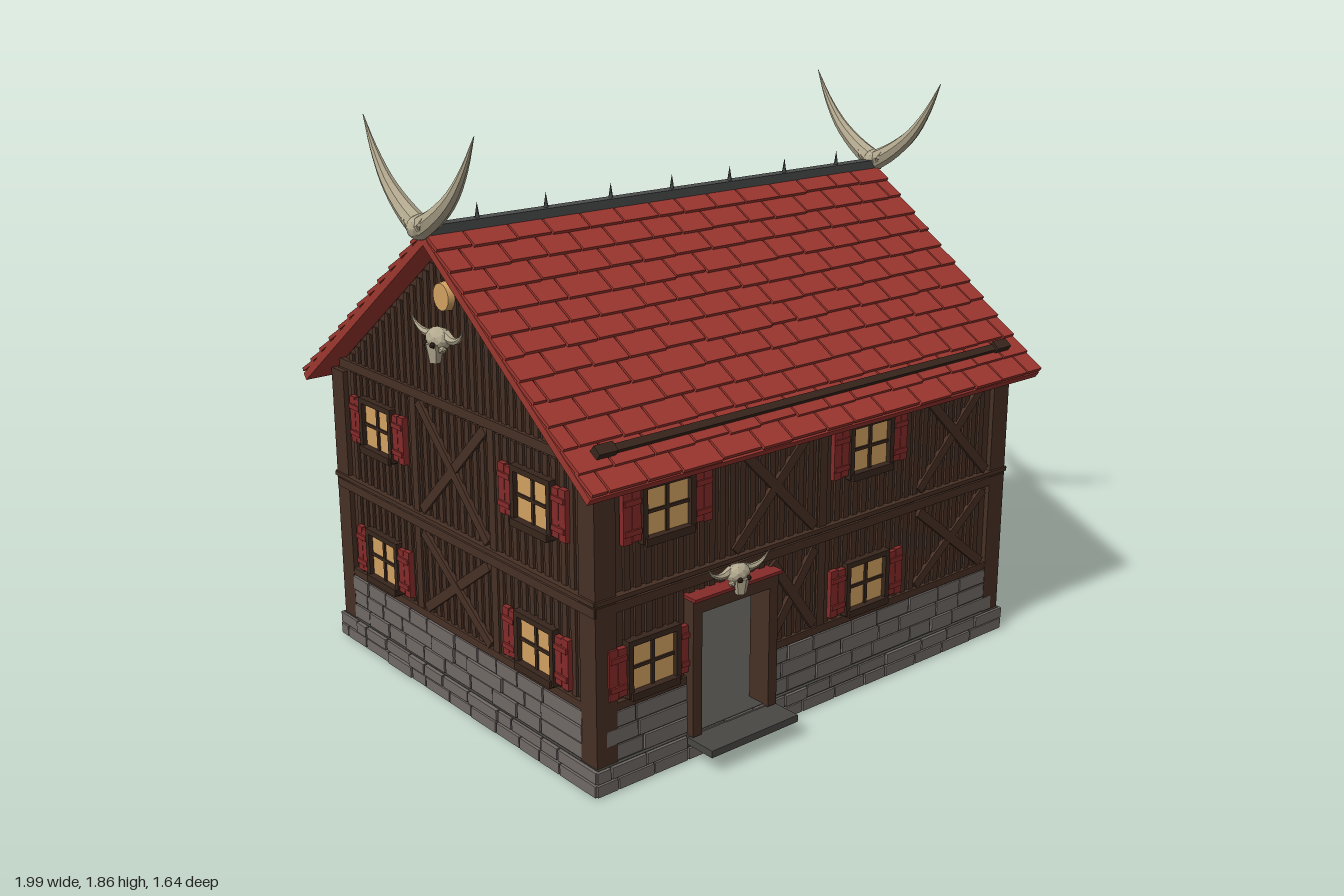
import * as THREE from 'three';
import { mergeGeometries } from 'three/addons/utils/BufferGeometryUtils.js';

const mat = (name, color) => {
  const m = new THREE.MeshStandardMaterial({ color });
  m.name = name;
  return m;
};
const M = {
  roof: mat('roof red', 0x9c362f), shutter: mat('shutter red', 0x842b29),
  timber: mat('timber brown', 0x462f24), dark: mat('dark timber', 0x38261d),
  stone: mat('stone grey', 0x706966), mortar: mat('mortar grey', 0x484743),
  amber: mat('amber glass', 0xd2a161), bone: mat('bone', 0xb3a98f), iron: mat('iron', 0x4a4c4b),
};

let seed = 7;
const rnd = () => (seed = (seed * 16807) % 2147483647) / 2147483647;

const HX = 0.865, HZ = 0.70;            // wall planes
const APEX = 1.555, SLOPE = 0.755, PITCH = Math.atan(SLOPE), LEN = 0.797 / Math.cos(PITCH);
const underRoof = (u) => 1.507 - SLOPE * Math.abs(u);

// box from min to max corners
const boxGeo = (x0, x1, y0, y1, z0, z1) =>
  new THREE.BoxGeometry(x1 - x0, y1 - y0, z1 - z0).translate((x0 + x1) / 2, (y0 + y1) / 2, (z0 + z1) / 2);
const add = (parent, name, geo, material) => {
  const m = new THREE.Mesh(Array.isArray(geo) ? mergeGeometries(geo) : geo, material);
  m.name = name;
  parent.add(m);
  return m;
};
const group = (parent, name, x = 0, y = 0, z = 0) => {
  const g = new THREE.Group();
  g.name = name;
  g.position.set(x, y, z);
  parent.add(g);
  return g;
};
const facet = (geo) => {
  const g = geo.index ? geo.toNonIndexed() : geo;
  g.computeVertexNormals();
  return g;
};

// tube that tapers to a point along a curve
function hornGeo(pts, r, seg = 8, sides = 7) {
  const curve = new THREE.CatmullRomCurve3(pts.map((p) => new THREE.Vector3(...p)));
  const geo = new THREE.TubeGeometry(curve, seg, r, sides);
  const p = geo.attributes.position, v = new THREE.Vector3();
  for (let i = 0; i < p.count; i++) {
    const t = Math.floor(i / (sides + 1)) / seg;
    v.fromBufferAttribute(p, i).lerp(curve.getPointAt(t), 0.97 * Math.pow(t, 1.2));
    p.setXYZ(i, v.x, v.y, v.z);
  }
  return facet(geo);
}

// horned skull facing +z
function skull(parent, x, y, z, s) {
  const g = group(parent, 'hornedSkull', x, y, z);
  g.scale.setScalar(s);
  add(g, 'cranium', facet(new THREE.IcosahedronGeometry(0.045, 1).scale(1.1, 0.85, 0.8)).translate(0, 0.005, 0.035), M.bone);
  add(g, 'snout', facet(new THREE.CylinderGeometry(0.036, 0.022, 0.06, 6).scale(1, 1, 0.8)).translate(0, -0.035, 0.05), M.bone);
  for (const s2 of [-1, 1]) {
    add(g, 'skullHorn', hornGeo([[s2 * 0.025, 0.02, 0.025], [s2 * 0.07, 0.01, 0.03], [s2 * 0.115, 0.025, 0.035], [s2 * 0.145, 0.06, 0.04]], 0.017, 7, 6), M.bone);
    add(g, 'eyeSocket', facet(new THREE.IcosahedronGeometry(0.011, 0)).translate(s2 * 0.02, -0.006, 0.068), M.dark);
    add(g, 'cheek', facet(new THREE.IcosahedronGeometry(0.014, 0)).translate(s2 * 0.036, -0.02, 0.045), M.bone);
  }
}

function windowUnit(parent, u, y) {
  const g = group(parent, 'window', u, y, 0);
  const W = 0.08, H = 0.072, T = 0.018;
  add(g, 'glass', boxGeo(-W, W, -H, H, -0.034, 0.014), M.amber);
  add(g, 'windowFrame', [
    boxGeo(-W - T, -W, -H - T, H + T, 0, 0.03), boxGeo(W, W + T, -H - T, H + T, 0, 0.03),
    boxGeo(-W, W, H, H + T, 0, 0.03), boxGeo(-W - 0.01, W + 0.01, -H - 0.024, -H, 0, 0.038),
    boxGeo(-0.006, 0.006, -H, H, 0, 0.02), boxGeo(-W, W, -0.005, 0.005, 0, 0.02),
  ], M.dark);
  for (const s of [-1, 1]) {
    const planks = [0, 1].map((i) => {
      const c = s * (W + T + 0.018 + i * 0.033);
      return boxGeo(c - 0.0155, c + 0.0155, -0.075 - 0.004 * i, 0.075 + 0.004 * i, 0.006, 0.024);
    });
    const c = s * (W + T + 0.034);
    for (const v of [-0.045, 0.045]) planks.push(boxGeo(c - 0.03, c + 0.03, v - 0.008, v + 0.008, 0.02, 0.03));
    add(g, 'shutter', planks, M.shutter);
  }
}

// diagonal cross brace in a rectangle
function crossBrace(parent, u, hw, y0, y1) {
  const h = y1 - y0, l = Math.hypot(2 * hw, h) - 0.03, a = Math.atan2(h, 2 * hw);
  add(parent, 'crossBrace', [a, -a].map((r, i) =>
    new THREE.BoxGeometry(l, 0.032, 0.014).rotateZ(r).translate(u, (y0 + y1) / 2, 0.009 + i * 0.002)), M.timber);
}

// one course of stones
function course(u0, u1, y0, y1, w) {
  const out = [], n = Math.max(1, Math.round((u1 - u0) / 0.125)), step = (u1 - u0) / n;
  let a = u0;
  for (let i = 1; i <= n; i++) {
    const b = i === n ? u1 : u0 + (i - 0.1 - rnd() * 0.55) * step;
    out.push(boxGeo(a + 0.003, b - 0.003, y0 + 0.003, y1 - 0.003, w - 0.02, w - rnd() * 0.006));
    a = b;
  }
  return out;
}

function buildWall(house, name, half, dist, angle, gable, door) {
  const pivot = group(house, name);
  pivot.rotation.y = angle;
  const g = group(pivot, name + 'Face', 0, 0, dist);
  const D0 = -0.51, D1 = -0.24, DT = 0.5;

  // wall panel
  const pts = [[-half, 0.24]];
  if (door) pts.push([D0, 0.24], [D0, DT], [D1, DT], [D1, 0.24]);
  pts.push([half, 0.24], [half, 0.975]);
  if (gable) pts.push([0, 1.507]);
  pts.push([-half, 0.975]);
  const shape = new THREE.Shape(pts.map((p) => new THREE.Vector2(...p)));
  add(g, 'wallPanel', new THREE.ExtrudeGeometry(shape, { depth: 0.03, bevelEnabled: false }).translate(0, 0, -0.03), M.timber);

  // vertical battens
  const bat = [];
  const n = Math.floor((half - 0.07) / 0.04);
  for (let i = -n; i <= n; i++) {
    const u = i * 0.04, strip = (a, b) => b - a > 0.02 && bat.push(boxGeo(u - 0.011, u + 0.011, a, b, -0.002, 0.008));
    strip(door && u > D0 - 0.02 && u < D1 + 0.02 ? DT : 0.25, 0.56);
    strip(0.6, 0.975);
    if (gable) strip(1.0, underRoof(u) - 0.015);
  }
  add(g, 'battens', bat, M.timber);

  // horizontal beams
  const sill = door ? [[-half, D0], [D1, half]] : [[-half, half]];
  const beams = sill.map(([a, b]) => boxGeo(a, b, 0.245, 0.27, 0, 0.016));
  beams.push(boxGeo(-half - 0.015, half + 0.015, 0.553, 0.582, 0, 0.02), boxGeo(-half - 0.02, half + 0.02, 0.59, 0.604, 0, 0.025));
  if (gable) beams.push(boxGeo(-0.66, 0.66, 0.985, 1.015, 0, 0.018));
  add(g, 'beams', beams, M.timber);
  add(g, 'beamGap', boxGeo(-half, half, 0.58, 0.592, 0, 0.012), M.dark);

  // posts, braces and windows
  const posts = gable ? [-0.215, 0.215] : [0.01];
  add(g, 'posts', posts.flatMap((u) => [boxGeo(u - 0.016, u + 0.016, 0.25, 0.56, 0, 0.015), boxGeo(u - 0.016, u + 0.016, 0.6, 0.985, 0, 0.015)]), M.timber);
  if (gable) {
    crossBrace(g, 0, 0.195, 0.27, 0.55);
    crossBrace(g, 0, 0.195, 0.605, 0.985);
    for (const u of [-0.43, 0.43]) for (const y of [0.365, 0.822]) windowUnit(g, u, y);
    add(g, 'roundWindow', new THREE.CylinderGeometry(0.042, 0.047, 0.035, 16).rotateX(Math.PI / 2).translate(0, 1.345, 0.012), M.amber);
    skull(g, 0, 1.215, 0.008, 1);
  } else {
    for (const [u, y] of [[-0.62, 0.826], [0.21, 0.826], [-0.675, 0.364], [0.21, 0.364]]) windowUnit(g, u, y);
    for (const u of [-0.19, 0.62]) {
      crossBrace(g, u, 0.175, 0.605, 0.96);
      if (door && u < 0) crossBrace(g, -0.11, 0.1, 0.27, 0.55);
      else crossBrace(g, u, 0.175, 0.27, 0.55);
    }
  }

  // foundation stones over a mortar core
  const end = gable ? 0.65 : 0.85, core = [], stones = [];
  for (const [a, b] of door ? [[-end, D0 - 0.03], [D1 + 0.03, end]] : [[-end, end]]) {
    core.push(boxGeo(a, b, 0.08, 0.245, -0.04, 0.012));
    for (let r = 0; r < 3; r++) stones.push(...course(a, b, 0.086 + r * 0.053, 0.139 + r * 0.053, 0.022));
  }
  for (let r = 0; r < 2; r++) stones.push(...course(-half - 0.03, half + 0.03, r * 0.042, 0.042 + r * 0.042, 0.034));
  add(g, 'foundationCore', core, M.mortar);
  add(g, 'foundationStones', stones, M.stone);

  // doorway
  if (door) {
    add(g, 'doorFrame', [boxGeo(D0 - 0.035, D0, 0.08, DT + 0.02, -0.04, 0.045), boxGeo(D1, D1 + 0.035, 0.08, DT + 0.02, -0.04, 0.045),
      boxGeo(D0 - 0.035, D1 + 0.035, DT - 0.025, DT + 0.02, -0.04, 0.045)], M.timber);
    add(g, 'doorCanopy', boxGeo(-0.55, -0.2, 0.52, 0.53, 0, 0.06), M.shutter);
    add(g, 'doorstep', boxGeo(-0.55, -0.2, 0.053, 0.076, 0, 0.137), M.mortar);
    skull(g, -0.375, 0.56, 0.02, 0.85);
  }
}

function buildRoofSide(house, name, angle) {
  const side = group(house, name);
  side.rotation.y = angle;
  const g = group(side, name + 'Slope', 0, APEX, 0);
  g.rotation.x = PITCH;
  add(g, 'roofDeck', boxGeo(-0.948, 0.948, -0.037, -0.012, 0, LEN), M.roof);
  add(g, 'roofFelt', boxGeo(-0.94, 0.94, -0.012, -0.008, 0, LEN - 0.01), M.dark);
  // overlapping tiles with uneven widths
  const tiles = [], rows = 12, cols = 14, pitch = LEN / rows, w = 1.9 / cols;
  for (let r = 0; r < rows; r++) {
    const shift = r % 2 ? 0.5 : 0;
    let a = -0.95;
    for (let c = 1; a < 0.949; c++) {
      const b = Math.min(0.95, -0.95 + (c - shift + (rnd() - 0.5) * 0.3) * w);
      const e = 0.95 - b < 0.03 ? 0.95 : b, len = pitch + 0.004 + rnd() * 0.008;
      tiles.push(new THREE.BoxGeometry(e - a - 0.007, 0.012, len).rotateX(-0.12)
        .translate((a + e) / 2, -0.004, r * pitch + len / 2 - (r === rows - 1 ? 0.008 : 0)));
      a = e;
    }
  }
  add(g, 'roofTiles', tiles, M.roof);
  // snow rail
  const z = 0.877;
  add(g, 'snowRail', [boxGeo(-0.868, 0.868, 0.004, 0.018, z - 0.012, z + 0.012),
    ...[-1, 1].map((s) => boxGeo(s * 0.835 - 0.033, s * 0.835 + 0.033, -0.005, 0.026, z - 0.017, z + 0.017))], M.dark);
}

export function createModel() {
  const model = new THREE.Group();
  model.name = 'timberHouse';
  const house = group(model, 'house', 0, 0, -0.017);

  add(house, 'baseSlab', boxGeo(-0.885, 0.885, 0, 0.083, -0.723, 0.723), M.mortar);
  buildWall(house, 'frontWall', HX, HZ, 0, false, true);
  buildWall(house, 'backWall', HX, HZ, Math.PI, false, false);
  buildWall(house, 'leftWall', HZ, HX, Math.PI / 2, true, false);
  buildWall(house, 'rightWall', HZ, HX, -Math.PI / 2, true, false);
  for (const sx of [-1, 1]) for (const sz of [-1, 1])
    add(house, 'cornerPost', new THREE.BoxGeometry(0.075, 0.885, 0.075).translate(sx * 0.845, 0.5265, sz * 0.68), M.timber);

  buildRoofSide(house, 'frontRoof', 0);
  buildRoofSide(house, 'backRoof', Math.PI);

  // ridge cap with spikes
  add(house, 'ridgeCap', boxGeo(-0.95, 0.95, 1.535, 1.567, -0.022, 0.022), M.iron);
  for (let i = -3; i <= 3; i++)
    add(house, 'ridgeSpike', new THREE.ConeGeometry(0.009, 0.055, 5).translate(i * 0.252, 1.588, 0), M.iron);

  // great horns on both ridge ends
  for (const s of [-1, 1]) {
    const g = group(house, 'ridgeHorns', s * 0.953, 0, 0);
    add(g, 'hornBoss', facet(new THREE.IcosahedronGeometry(0.042, 1).scale(1.05, 0.95, 0.9)).translate(0, 1.563, 0), M.bone);
    for (const d of [-1, 1]) {
      add(g, 'greatHorn', hornGeo([[0, 1.56, 0], [0, 1.605, d * 0.085], [0, 1.675, d * 0.175], [0, 1.765, d * 0.245], [0, 1.86, d * 0.297]], 0.036, 12, 8), M.bone);
      add(g, 'hornRing', facet(new THREE.TorusGeometry(0.031, 0.008, 5, 8).rotateX(d * 0.55).translate(0, 1.578, d * 0.042)), M.bone);
    }
  }
  return model;
}
